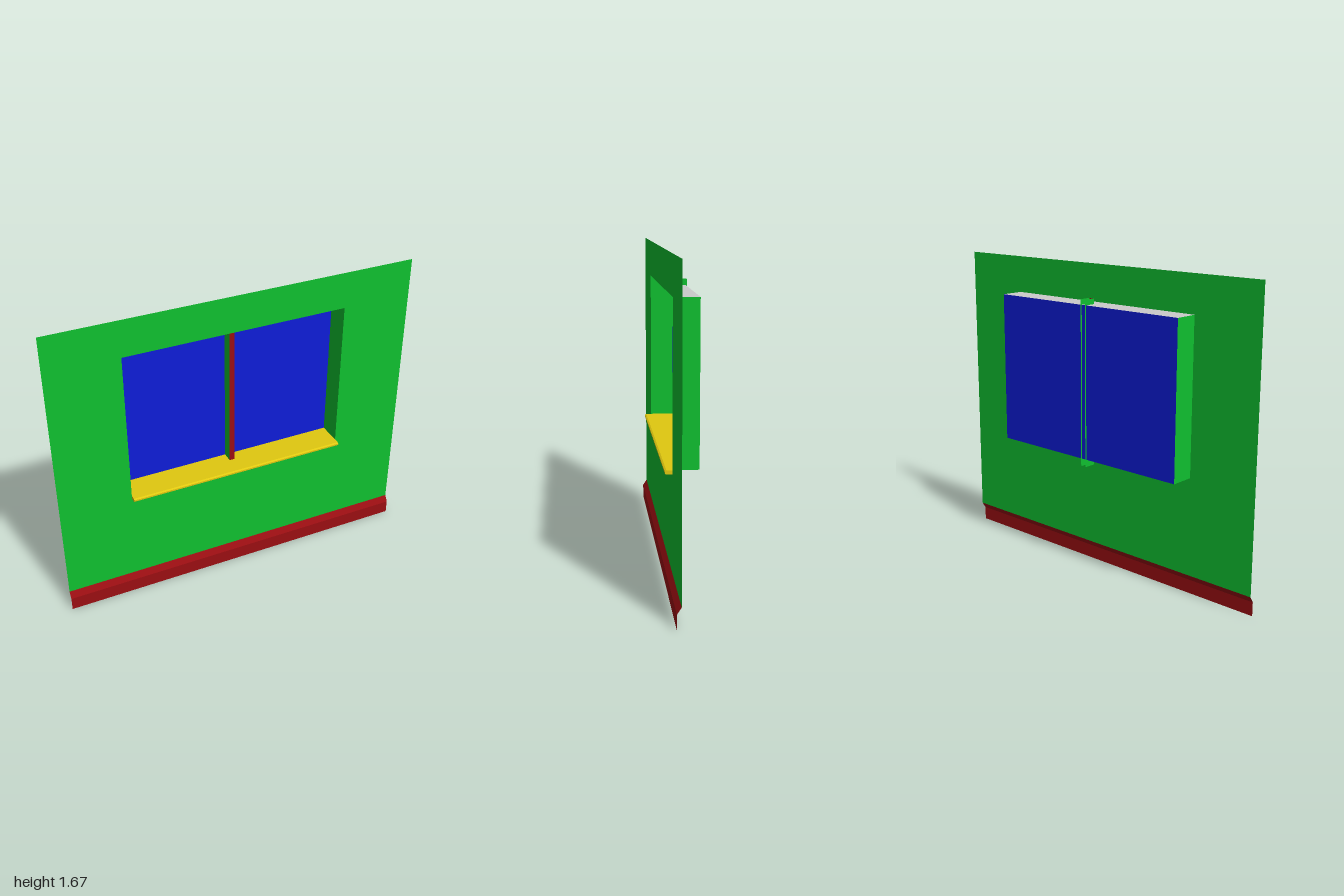
import * as THREE from 'three';

const paint = (color) => new THREE.MeshStandardMaterial({ color, side: THREE.DoubleSide, flatShading: true });

// Thin sheet: a polyline of [x, y, z] points swept along a vector
function sheet(name, points, sweep, material) {
  const positions = [];
  for (let i = 0; i + 1 < points.length; i++) {
    const a = points[i], b = points[i + 1];
    const c = b.map((v, k) => v + sweep[k]), d = a.map((v, k) => v + sweep[k]);
    positions.push(...a, ...b, ...c, ...a, ...c, ...d);
  }
  const geometry = new THREE.BufferGeometry();
  geometry.setAttribute('position', new THREE.Float32BufferAttribute(positions, 3));
  geometry.computeVertexNormals();
  const mesh = new THREE.Mesh(geometry, material);
  mesh.name = name;
  return mesh;
}

function rectangle(target, x0, y0, x1, y1) {
  target.moveTo(x0, y0);
  target.lineTo(x1, y0);
  target.lineTo(x1, y1);
  target.lineTo(x0, y1);
  target.closePath();
  return target;
}

export function createModel() {
  const model = new THREE.Group();
  model.name = 'wallWithWindow';
  const green = paint(0x10c030), blue = paint(0x0e1cd8), red = paint(0x9a0e12);
  const yellow = paint(0xe0c810), grey = paint(0xcccccc);

  const half = 0.61, bottom = 0.64, top = 1.47; // window opening
  const wallZ = 0.05, glassZ = -0.08;

  // Wall sheet with the window opening
  const shape = rectangle(new THREE.Shape(), -1, 0.11, 1, 1.67);
  shape.holes.push(rectangle(new THREE.Path(), -half, bottom, half, top));
  const wall = new THREE.Mesh(new THREE.ShapeGeometry(shape), green);
  wall.name = 'wall';
  wall.position.z = wallZ;
  model.add(wall);

  // Skirting board with a sloped top
  model.add(sheet('skirting', [[-1, 0.11, wallZ], [-1, 0.075, 0.072], [-1, 0, 0.072]], [2, 0, 0], red));

  // Recess: sides, ceiling and floor
  const depth = [0, 0, glassZ - wallZ];
  for (const [name, x] of [['leftReveal', half], ['rightReveal', -half]]) {
    model.add(sheet(name, [[x, bottom, wallZ], [x, top, wallZ]], depth, green));
  }
  model.add(sheet('recessCeiling', [[-half, top, wallZ], [half, top, wallZ]], depth, grey));
  model.add(sheet('recessFloor', [[half, bottom, wallZ], [-half, bottom, wallZ]], depth, yellow));

  // Window pane
  const glass = new THREE.Mesh(new THREE.PlaneGeometry(2 * half, top - bottom), blue);
  glass.name = 'glass';
  glass.position.set(0, (top + bottom) / 2, glassZ);
  model.add(glass);

  // Sill nose with chamfered front edges, drawn in (z, y) and extruded along x
  const nose = new THREE.Shape([
    [0.05, 0.64], [0.08, 0.64], [0.088, 0.635], [0.088, 0.626], [0.081, 0.62], [0.05, 0.62],
  ].map(([z, y]) => new THREE.Vector2(-z, y)));
  const sillGeometry = new THREE.ExtrudeGeometry(nose, { depth: 2 * half, bevelEnabled: false });
  sillGeometry.rotateY(Math.PI / 2).translate(-half, 0, 0);
  const sill = new THREE.Mesh(sillGeometry, yellow);
  sill.name = 'sill';
  model.add(sill);

  // Centre mullion: a channel open at the back and ends, red face and green sides
  const mullion = new THREE.Group();
  mullion.name = 'mullion';
  const w = 0.015, low = 0.6, high = 1.5, faceZ = -0.02;
  mullion.add(sheet('mullionFace', [[-w, low, faceZ], [w, low, faceZ]], [0, high - low, 0], red));
  for (const x of [-w, w]) {
    mullion.add(sheet('mullionSide', [[x, low, faceZ], [x, low, -0.088]], [0, high - low, 0], green));
  }
  model.add(mullion);

  return model;
}
